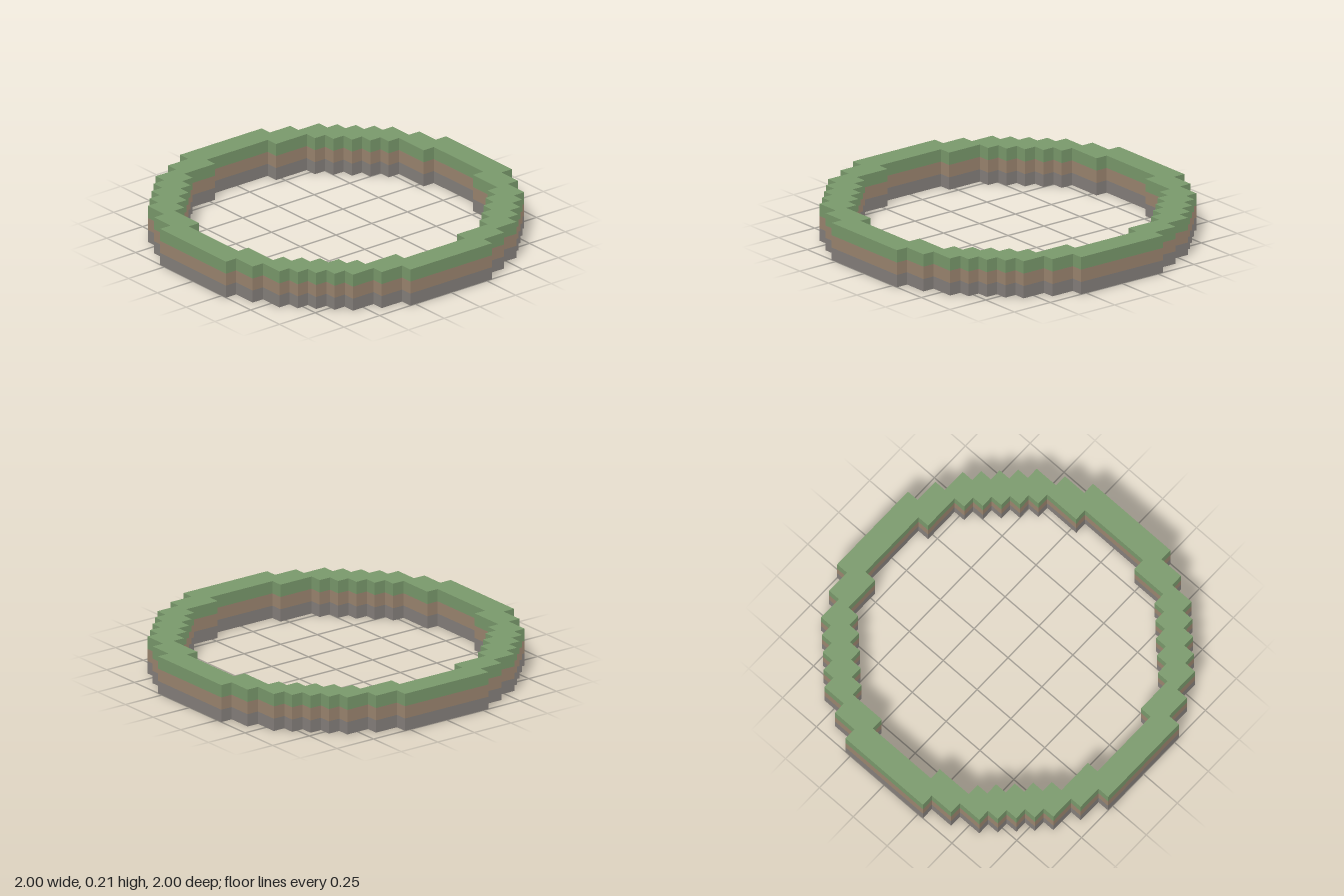
import * as THREE from 'three';

const UNIT = 2 / 28; // one block

// One quadrant of each stepped circle, counter-clockwise, in blocks
const OUTER = [[14, 4], [13, 4], [13, 6], [12, 6], [12, 8], [11, 8], [11, 9], [10, 9], [10, 10],
  [9, 10], [9, 11], [8, 11], [8, 12], [6, 12], [6, 13], [4, 13], [4, 14]];
const INNER = [[12, 3], [11, 3], [11, 6], [10, 6], [10, 7], [9, 7], [9, 8], [8, 8],
  [8, 9], [7, 9], [7, 10], [6, 10], [6, 11], [3, 11], [3, 12]];

// Turn a quadrant four times to close the loop
function steppedCircle(quadrant) {
  const points = [];
  for (let turn = 0; turn < 4; turn++) {
    for (const p of quadrant) {
      let [x, y] = p;
      for (let i = 0; i < turn; i++) [x, y] = [-y, x];
      points.push(new THREE.Vector2(x * UNIT, y * UNIT));
    }
  }
  return points;
}

// Keep only a run of vertices of a non-indexed geometry
function keepRange(geometry, start, end) {
  const kept = new THREE.BufferGeometry();
  for (const name of ['position', 'normal']) {
    const source = geometry.getAttribute(name).array;
    kept.setAttribute(name, new THREE.BufferAttribute(source.slice(start * 3, end * 3), 3));
  }
  return kept;
}

export function createModel() {
  const group = new THREE.Group();
  group.name = 'steppedRing';

  const shape = new THREE.Shape(steppedCircle(OUTER));
  shape.holes.push(new THREE.Path(steppedCircle(INNER)));
  const slab = new THREE.ExtrudeGeometry(shape, { depth: UNIT, bevelEnabled: false });
  slab.rotateX(-Math.PI / 2);

  // The slab lists its bottom face, then its top face, then its walls
  const caps = slab.groups[0].count;
  const total = slab.getAttribute('position').count;

  const addPart = (name, color, level, start, end) => {
    const material = new THREE.MeshStandardMaterial({ color });
    const mesh = new THREE.Mesh(keepRange(slab, start, end), material);
    mesh.name = name;
    mesh.position.y = level * UNIT;
    group.add(mesh);
  };

  // Three bands of wall: stone, earth and grass
  const layers = [['stone', 0x86807c], ['earth', 0x9c8670], ['grass', 0x7a9a6c]];
  layers.forEach(([name, color], level) => addPart(name + 'Wall', color, level, caps, total));

  // Underside and top surface
  addPart('stoneUnderside', layers[0][1], 0, 0, caps / 2);
  addPart('grassTop', layers[2][1], 2, caps / 2, caps);

  return group;
}
